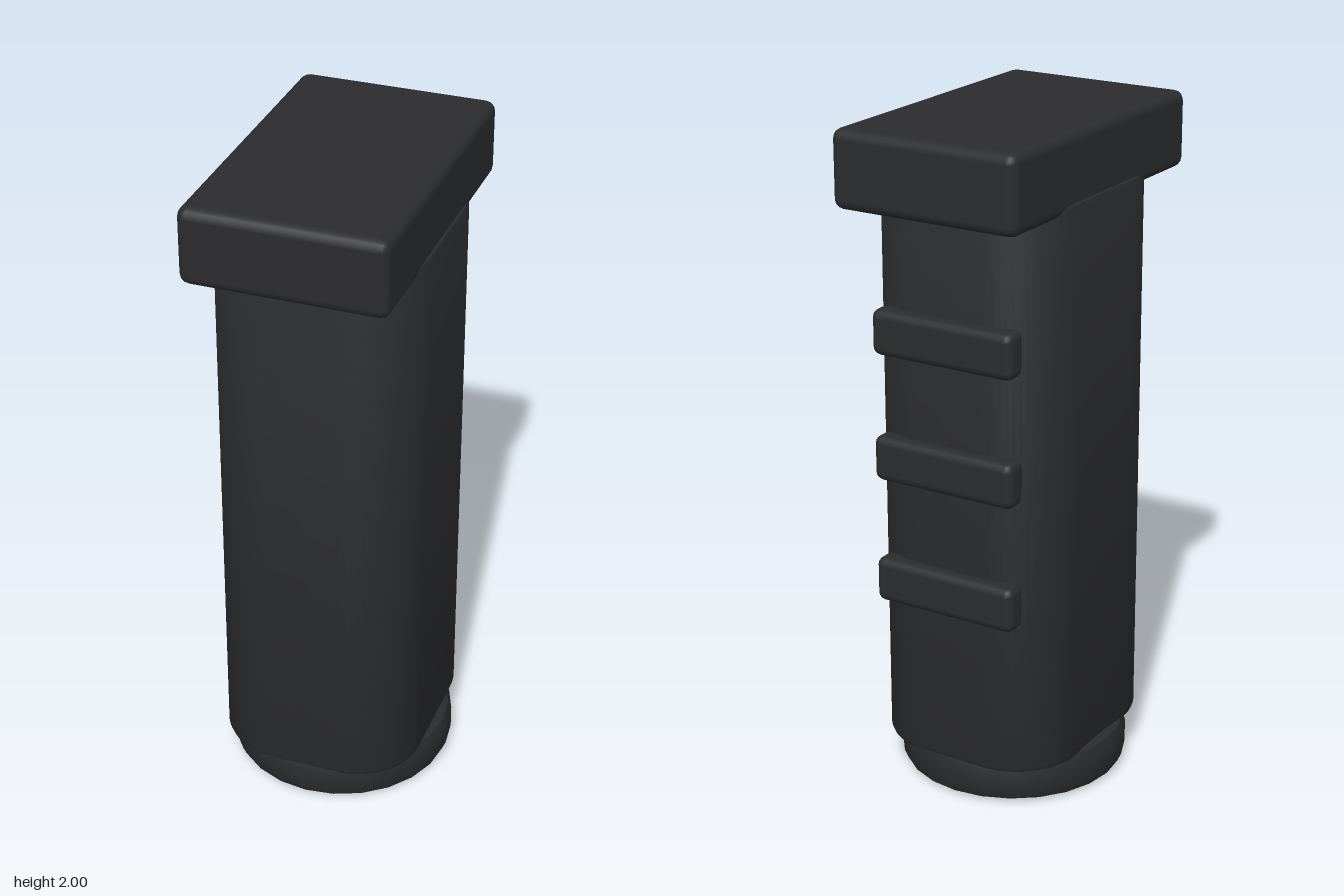
import * as THREE from 'three';
import { toCreasedNormals } from 'three/addons/utils/BufferGeometryUtils.js';
import { RoundedBoxGeometry } from 'three/addons/geometries/RoundedBoxGeometry.js';

const material = new THREE.MeshStandardMaterial({ color: 0x2b2c2e });

function addPart(group, name, geometry, x, y, z) {
  const mesh = new THREE.Mesh(geometry, material);
  mesh.name = name;
  mesh.position.set(x, y, z);
  group.add(mesh);
  return mesh;
}

// Rectangle with rounded corners, centred on the origin
function roundedRect(halfW, halfH, r) {
  const shape = new THREE.Shape();
  shape.absarc(halfW - r, halfH - r, r, 0, Math.PI / 2);
  shape.absarc(-halfW + r, halfH - r, r, Math.PI / 2, Math.PI);
  shape.absarc(-halfW + r, -halfH + r, r, Math.PI, Math.PI * 1.5);
  shape.absarc(halfW - r, -halfH + r, r, Math.PI * 1.5, Math.PI * 2);
  shape.closePath();
  return shape;
}

export function createModel() {
  const group = new THREE.Group();
  group.name = 'verticalGrip';

  // Handle: rounded-rectangle column with softened ends
  const bevel = 0.02, bottom = 0.12, top = 1.81;
  const handle = new THREE.ExtrudeGeometry(roundedRect(0.305 - bevel, 0.35 - bevel, 0.18), {
    depth: top - bottom - 2 * bevel,
    bevelEnabled: true, bevelThickness: bevel, bevelSize: bevel, bevelSegments: 2,
    curveSegments: 8,
  });
  handle.rotateX(-Math.PI / 2);
  addPart(group, 'handle', toCreasedNormals(handle, 0.7), 0, bottom + bevel, 0);

  // Mounting block on top
  addPart(group, 'mountBlock', new RoundedBoxGeometry(0.586, 0.225, 0.935, 2, 0.03), 0, 1.8875, 0);

  // Round end cap with bevelled rims
  const R = 0.34, H = 0.14, b = 0.035;
  const profile = [
    [0, 0], [R - b, 0], [R - b * 0.3, b * 0.3], [R, b],
    [R, H - b], [R - b * 0.3, H - b * 0.3], [R - b, H], [0, H],
  ].map(([x, y]) => new THREE.Vector2(x, y));
  addPart(group, 'endCap', toCreasedNormals(new THREE.LatheGeometry(profile, 24), 0.7), 0, 0, 0);

  // Finger ribs across the back
  [0.665, 1.04, 1.415].forEach((y, i) => {
    addPart(group, `fingerRib${i + 1}`, new RoundedBoxGeometry(0.46, 0.135, 0.075, 2, 0.025), 0, y, -0.35);
  });

  return group;
}
